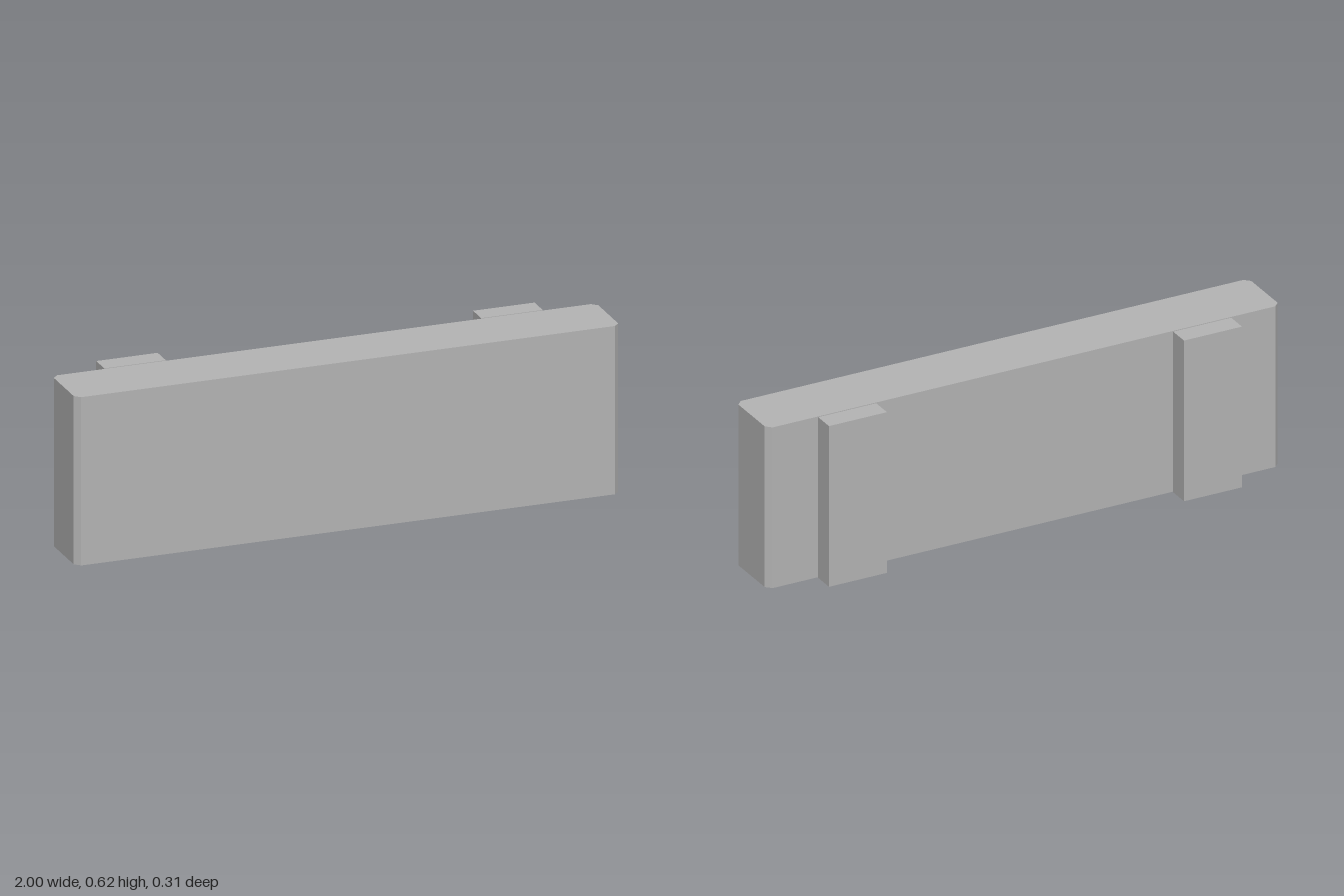
import * as THREE from 'three';

const HEIGHT = 0.616;

export function createModel() {
  const model = new THREE.Group();
  model.name = 'wallPanel';
  const grey = new THREE.MeshStandardMaterial({ color: 0xb4b4b4 });
  grey.name = 'light grey';

  // Panel: long rectangle with chamfered vertical corners, extruded upward
  const front = 0.157, back = -0.074, bevel = 0.02;
  const w = 1, d = (front - back) / 2;
  const outline = new THREE.Shape([
    [-w + bevel, -d], [w - bevel, -d], [w, -d + bevel], [w, d - bevel],
    [w - bevel, d], [-w + bevel, d], [-w, d - bevel], [-w, -d + bevel],
  ].map(([x, y]) => new THREE.Vector2(x, y)));
  const panelGeometry = new THREE.ExtrudeGeometry(outline, { depth: HEIGHT, bevelEnabled: false });
  panelGeometry.rotateX(-Math.PI / 2);
  const panel = new THREE.Mesh(panelGeometry, grey);
  panel.name = 'panel';
  panel.position.z = (front + back) / 2;
  model.add(panel);

  // Two full-height battens just behind the panel
  const battenGeometry = new THREE.BoxGeometry(0.226, HEIGHT, 0.078);
  for (const [name, side] of [['leftBatten', 1], ['rightBatten', -1]]) {
    const batten = new THREE.Mesh(battenGeometry, grey);
    batten.name = name;
    batten.position.set(side * 0.692, HEIGHT / 2, -0.118);
    model.add(batten);
  }
  return model;
}
